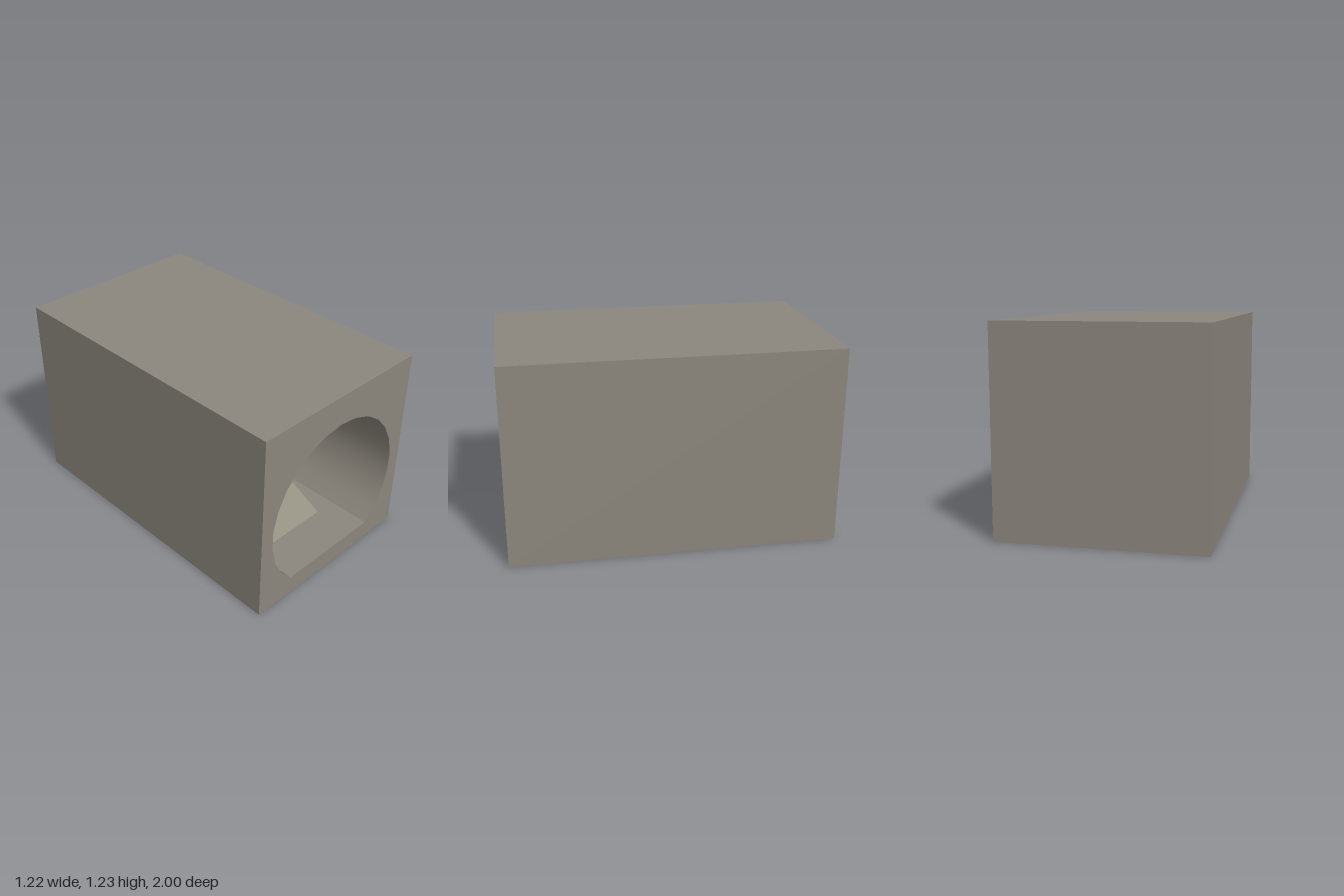
import * as THREE from 'three';
import { toCreasedNormals } from 'three/addons/utils/BufferGeometryUtils.js';

const stone = new THREE.MeshStandardMaterial({ color: 0x8c877d });
stone.name = 'stone';
const rampStone = new THREE.MeshStandardMaterial({ color: 0x8f8b7b });
rampStone.name = 'ramp stone';

const FLOOR = 0.117, LOW = 0.42, HIGH = 0.73, HALF = 0.61, RAMP = 0.21;

export function createModel() {
  const group = new THREE.Group();

  const add = (name, geometry, material) => {
    const mesh = new THREE.Mesh(geometry, material);
    mesh.name = name;
    group.add(mesh);
    return mesh;
  };

  // box given by its limits
  const block = (name, x, y0, y1, z0, z1) =>
    add(name, new THREE.BoxGeometry(2 * x, y1 - y0, z1 - z0), stone)
      .position.set(0, (y0 + y1) / 2, (z0 + z1) / 2);

  // side profile in (z, y), extruded across x
  const ramp = (name, points) => {
    const shape = new THREE.Shape(points.map(([z, y]) => new THREE.Vector2(-z, y)));
    const geometry = new THREE.ExtrudeGeometry(shape, { depth: 2 * RAMP, bevelEnabled: false });
    geometry.translate(0, 0, -RAMP).rotateY(Math.PI / 2);
    add(name, geometry, rampStone);
  };

  // outer block with a round, flat-floored tunnel
  const outer = new THREE.Shape([
    new THREE.Vector2(-HALF, 0), new THREE.Vector2(HALF, 0),
    new THREE.Vector2(HALF, 1.225), new THREE.Vector2(-HALF, 1.225)]);
  const arc = [];
  for (let i = -10; i <= 10; i++) {
    const a = (i / 26) * Math.PI * 2;
    arc.push(new THREE.Vector2(Math.sin(a) * 0.525, 0.51 + Math.cos(a) * 0.525));
  }
  outer.holes.push(new THREE.Path(arc));
  const shell = new THREE.ExtrudeGeometry(outer, { depth: 1.99, bevelEnabled: false });
  shell.translate(0, 0, -0.99);
  add('tunnelBlock', toCreasedNormals(shell, 0.4), stone);
  block('backWall', HALF, 0, 1.225, -1, -0.99);

  // two raised floors, their edges sunk into the walls
  block('lowerPlatform', 0.55, 0.1, LOW, -0.995, -0.1);
  block('upperPlatform', 0.55, LOW - 0.01, HIGH, -0.995, -0.7);

  // ramps up to each floor
  ramp('lowerRamp', [[0.73, FLOOR], [0.13, LOW], [-0.1, LOW], [-0.1, FLOOR]]);
  ramp('upperRamp', [[-0.32, LOW], [-0.7, HIGH], [-0.7, LOW]]);

  // bevelled block at the far end
  const cap = new THREE.Shape([
    new THREE.Vector2(-RAMP, HIGH), new THREE.Vector2(RAMP, HIGH),
    new THREE.Vector2(0.105, 0.83), new THREE.Vector2(-0.105, 0.83)]);
  const capGeometry = new THREE.ExtrudeGeometry(cap, { depth: 0.2, bevelEnabled: false });
  capGeometry.translate(0, 0, -0.99);
  add('endBlock', capGeometry, stone);

  return group;
}
